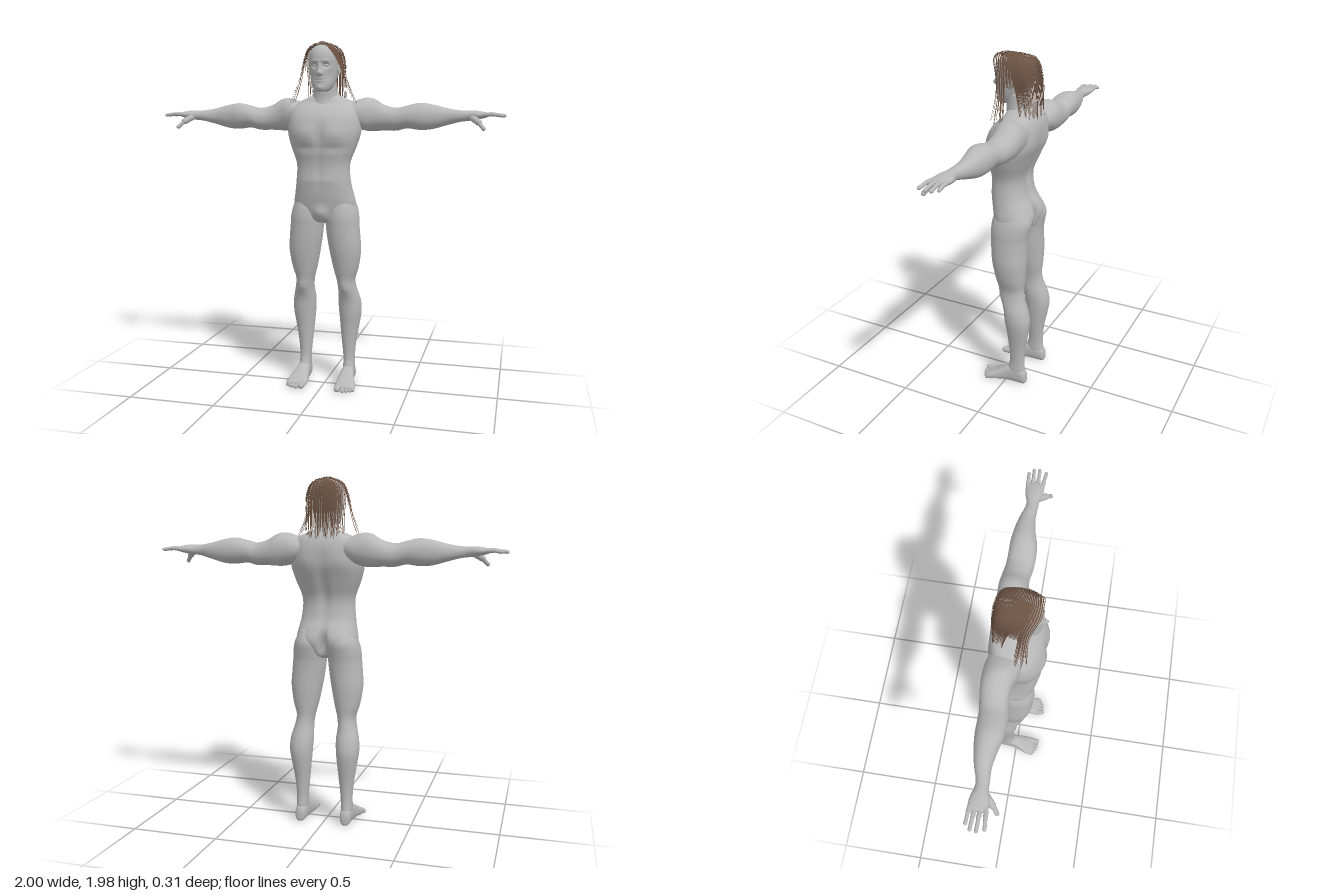
import * as THREE from 'three';

const skin = new THREE.MeshStandardMaterial({ color: 0xb8b8b8 });
skin.name = 'skin grey';
const hairMat = new THREE.MeshStandardMaterial({ color: 0x6b5242, side: THREE.DoubleSide });
hairMat.name = 'hair brown';

const V = (x, y, z) => new THREE.Vector3(x, y, z);

// Catmull-Rom blend of rows of numbers, k from 0 to rows.length - 1
function rowAt(rows, k) {
  const n = rows.length - 1, i = Math.min(Math.floor(k), n - 1), f = k - i;
  const [a, b, c, d] = [i - 1, i, i + 1, i + 2].map(j => rows[Math.max(0, Math.min(n, j))]);
  return b.map((_, j) => b[j] + 0.5 * f * (c[j] - a[j] + f * (2 * a[j] - 5 * b[j] + 4 * c[j] - d[j]
    + f * (3 * (b[j] - c[j]) + d[j] - a[j]))));
}

// Closed skin over sections [t, a0, a1, b0, b1]; place(t, a, b) gives the point
function loft(rows, place, { seg = 32, sub = 4, power = 0.9, bumps = [] } = {}) {
  const pos = [], idx = [], rings = (rows.length - 1) * sub + 1;
  const sgnPow = v => Math.sign(v) * Math.abs(v) ** power;
  for (let r = 0; r < rings; r++) {
    const [t, a0, a1, b0, b1] = rowAt(rows, r / sub);
    for (let s = 0; s < seg; s++) {
      const w = s / seg * Math.PI * 2, c = sgnPow(Math.cos(w)), q = sgnPow(Math.sin(w));
      const p = place(t, (a0 + a1) / 2 + c * (a1 - a0) / 2, (b0 + b1) / 2 + q * (b1 - b0) / 2);
      // soft muscle and face relief: [x, y, side, width, height, amount]
      for (const [x, y, side, sx, sy, amount] of bumps) {
        const facing = Math.min(1, Math.max(0, q * side * 1.5));
        const gx = (Math.abs(p.x) - x) / sx, gy = (p.y - y) / sy;
        p.z += side * amount * facing * Math.exp(-gx * gx - gy * gy);
      }
      pos.push(p.x, p.y, p.z);
      const s2 = (s + 1) % seg, i = r * seg;
      if (r < rings - 1) idx.push(i + s, i + s2, i + seg + s, i + s2, i + seg + s2, i + seg + s);
    }
  }
  // end caps
  [[0, rows[0]], [rings - 1, rows[rows.length - 1]]].forEach(([r, [t, a0, a1, b0, b1]], end) => {
    const p = place(t, (a0 + a1) / 2, (b0 + b1) / 2), centre = pos.length / 3, i = r * seg;
    pos.push(p.x, p.y, p.z);
    for (let s = 0; s < seg; s++) {
      const s2 = (s + 1) % seg;
      idx.push(centre, i + (end ? s : s2), i + (end ? s2 : s));
    }
  });
  // turn the faces outward using the signed volume
  let volume = 0;
  const at = i => V(pos[3 * i], pos[3 * i + 1], pos[3 * i + 2]);
  for (let i = 0; i < idx.length; i += 3) volume += at(idx[i]).dot(at(idx[i + 1]).cross(at(idx[i + 2])));
  if (volume < 0) idx.reverse();
  const g = new THREE.BufferGeometry();
  g.setAttribute('position', new THREE.Float32BufferAttribute(pos, 3));
  g.setIndex(idx);
  g.computeVertexNormals();
  return g;
}

function add(parent, name, geometry, material = skin) {
  const m = new THREE.Mesh(geometry, material);
  m.name = name;
  parent.add(m);
  return m;
}

// Rounded rod between two points, for fingers and toes
function rod(parent, name, a, b, radius) {
  const m = add(parent, name, new THREE.CapsuleGeometry(radius, a.distanceTo(b) - radius, 5, 12));
  m.position.copy(a).add(b).multiplyScalar(0.5);
  m.quaternion.setFromUnitVectors(V(0, 1, 0), b.clone().sub(a).normalize());
}

const upright = (y, x, z) => V(x, y, z);
const even = rows => rows.map(([y, w, front, back]) => [y, -w, w, back, front]);

function buildTorso(group) {
  const rows = even([[0.965, 0.05, 0.05, -0.07], [0.985, 0.12, 0.08, -0.10], [1.03, 0.175, 0.092, -0.12],
    [1.08, 0.178, 0.105, -0.126], [1.13, 0.168, 0.115, -0.115], [1.2, 0.156, 0.122, -0.083],
    [1.3, 0.152, 0.12, -0.075], [1.4, 0.187, 0.138, -0.112], [1.48, 0.208, 0.14, -0.142],
    [1.55, 0.205, 0.128, -0.15], [1.6, 0.195, 0.095, -0.148], [1.64, 0.165, 0.05, -0.135],
    [1.67, 0.1, 0.035, -0.115], [1.69, 0.05, 0.02, -0.09]]);
  add(group, 'torso', loft(rows, upright, { seg: 72, sub: 6, power: 0.85, bumps: [
    [0.085, 1.47, 1, 0.07, 0.05, 0.013], [0, 1.46, 1, 0.018, 0.07, -0.012], [0.08, 1.39, 1, 0.08, 0.016, -0.009],
    [0, 1.27, 1, 0.014, 0.1, -0.006], [0.04, 1.21, 1, 0.05, 0.02, 0.004], [0, 1.36, -1, 0.025, 0.16, -0.017],
    [0.1, 1.52, -1, 0.05, 0.06, 0.008], [0.085, 1.07, -1, 0.06, 0.05, 0.012], [0, 1.05, -1, 0.02, 0.07, -0.045],
    [0, 1.025, 1, 0.035, 0.035, 0.022]] }));
  add(group, 'neck', loft(even([[1.58, 0.11, 0.08, -0.13], [1.64, 0.085, 0.055, -0.11],
    [1.69, 0.068, 0.052, -0.085], [1.77, 0.066, 0.06, -0.075]]), upright, { power: 1 }));
}

function buildHead(group) {
  const rows = even([[1.7, 0.025, 0.09, 0.02], [1.708, 0.042, 0.106, 0.0], [1.735, 0.06, 0.109, -0.04],
    [1.77, 0.071, 0.108, -0.07], [1.81, 0.077, 0.11, -0.093], [1.85, 0.081, 0.112, -0.105],
    [1.89, 0.083, 0.113, -0.108], [1.925, 0.074, 0.1, -0.1], [1.95, 0.048, 0.07, -0.07], [1.96, 0.012, 0.02, -0.02]]);
  add(group, 'head', loft(rows, upright, { seg: 112, sub: 8, power: 0.95, bumps: [
    [0, 1.8, 1, 0.012, 0.014, 0.026], [0, 1.825, 1, 0.009, 0.024, 0.015], [0.012, 1.797, 1, 0.008, 0.008, 0.008],
    [0.032, 1.84, 1, 0.017, 0.013, -0.014], [0.03, 1.865, 1, 0.024, 0.008, 0.006], [0, 1.771, 1, 0.02, 0.005, 0.007],
    [0, 1.758, 1, 0.017, 0.005, 0.006], [0, 1.764, 1, 0.024, 0.0025, -0.004], [0, 1.722, 1, 0.018, 0.012, 0.006],
    [0.052, 1.785, 1, 0.016, 0.025, -0.007]] }));
  for (const s of [1, -1]) {
    const eye = add(group, 'eye', new THREE.SphereGeometry(0.012, 20, 12));
    eye.position.set(s * 0.031, 1.841, 0.087);
    eye.scale.set(1.2, 0.7, 1);
    const ear = add(group, 'ear', new THREE.SphereGeometry(0.03, 16, 12));
    ear.position.set(s * 0.083, 1.82, -0.005);
    ear.scale.set(0.3, 1, 0.6);
  }
}

function buildLeg(group, s) {
  add(group, 'leg', loft([[1.13, 0.05, 0.15, -0.1, 0.07], [1.06, 0.012, 0.183, -0.134, 0.092],
    [1.0, 0.006, 0.197, -0.127, 0.1], [0.95, 0.009, 0.2, -0.118, 0.098], [0.88, 0.017, 0.206, -0.115, 0.094],
    [0.8, 0.03, 0.21, -0.115, 0.085], [0.7, 0.05, 0.195, -0.11, 0.065], [0.63, 0.068, 0.175, -0.105, 0.047],
    [0.57, 0.075, 0.182, -0.115, 0.032], [0.5, 0.07, 0.2, -0.138, 0.01], [0.43, 0.073, 0.204, -0.15, 0.002],
    [0.35, 0.08, 0.192, -0.14, -0.01], [0.25, 0.09, 0.175, -0.122, -0.02], [0.15, 0.1, 0.166, -0.115, -0.024],
    [0.09, 0.1, 0.168, -0.12, -0.008], [0.03, 0.105, 0.165, -0.125, 0.01]],
  (y, x, z) => V(s * x, y, z), { seg: 40, power: 0.95, bumps: [[0.125, 0.585, 1, 0.03, 0.035, 0.01]] }));
  add(group, 'foot', loft([[-0.132, 0.125, 0.145, 0.015, 0.05], [-0.122, 0.108, 0.162, 0.002, 0.085],
    [-0.08, 0.1, 0.168, 0, 0.11], [-0.03, 0.098, 0.172, 0, 0.112], [0.02, 0.09, 0.183, 0, 0.085],
    [0.07, 0.085, 0.2, 0, 0.055], [0.105, 0.087, 0.203, 0.002, 0.038], [0.12, 0.1, 0.19, 0.008, 0.028]],
  (z, x, y) => V(s * x, y, z), { power: 0.8 }));
  for (let i = 0; i < 5; i++) {
    const r = i ? 0.0125 - i * 0.0005 : 0.018, x = [0.104, 0.134, 0.156, 0.175, 0.191][i];
    rod(group, 'toe', V(s * x, r + 0.004, 0.09), V(s * (x + 0.004), r, [0.144, 0.144, 0.137, 0.127, 0.115][i]), r);
  }
}

function buildArm(group, s) {
  add(group, 'arm', loft([[0.1, 1.54, 1.63, -0.12, 0.01], [0.16, 1.505, 1.65, -0.145, 0.035],
    [0.22, 1.485, 1.668, -0.152, 0.025], [0.27, 1.482, 1.662, -0.153, 0.006], [0.33, 1.485, 1.628, -0.148, 0],
    [0.4, 1.485, 1.612, -0.138, 0.01], [0.46, 1.498, 1.625, -0.135, 0.013], [0.53, 1.49, 1.639, -0.135, 0.008],
    [0.6, 1.495, 1.63, -0.128, -0.01], [0.68, 1.517, 1.61, -0.112, -0.024], [0.75, 1.535, 1.598, -0.09, -0.022],
    [0.79, 1.54, 1.597, -0.09, -0.02], [0.83, 1.545, 1.597, -0.102, -0.01], [0.87, 1.553, 1.592, -0.106, -0.006],
    [0.9, 1.562, 1.585, -0.1, -0.012]], (x, y, z) => V(s * x, y, z), { seg: 36, power: 0.95 }));
  // fingers, two joints each
  const tips = [[0.965, -0.102], [0.99, -0.077], [0.993, -0.046], [0.98, -0.008]];
  tips.forEach(([x, z], i) => {
    const root = V(s * 0.87, 1.574, -0.094 + i * 0.0255), mid = V(s * (x + 0.87) / 2, 1.577, (z + root.z) / 2);
    rod(group, 'finger', root, mid, 0.0115);
    rod(group, 'fingertip', mid, V(s * x, 1.569, z), 0.0095);
  });
  rod(group, 'thumbBase', V(s * 0.815, 1.56, -0.03), V(s * 0.86, 1.53, 0.012), 0.018);
  rod(group, 'thumb', V(s * 0.855, 1.533, 0.01), V(s * 0.886, 1.497, 0.035), 0.0115);
}

function buildHair(group) {
  // guide locks from the centre parting, front to back
  const guides = [
    [0, 1.955, 0.112, 0.05, 1.932, 0.11, 0.092, 1.86, 0.075, 0.122, 1.77, 0.06, 0.18, 1.64, 0.065],
    [0, 1.966, 0.075, 0.07, 1.94, 0.055, 0.108, 1.87, 0.03, 0.13, 1.77, 0.02, 0.188, 1.62, 0.005],
    [0, 1.97, 0.03, 0.075, 1.94, -0.02, 0.105, 1.87, -0.04, 0.102, 1.77, -0.06, 0.1, 1.65, -0.08],
    [0, 1.968, -0.02, 0.06, 1.94, -0.08, 0.082, 1.87, -0.105, 0.083, 1.77, -0.118, 0.075, 1.61, -0.125],
    [0, 1.966, -0.045, 0, 1.94, -0.105, 0, 1.87, -0.125, 0, 1.77, -0.128, 0, 1.61, -0.13]];
  const count = 56, steps = 14;
  for (const s of [1, -1]) {
    const pos = [], idx = [];
    for (let i = 0; i < count; i++) {
      const edges = [-0.7, 0.7].map(d => rowAt(guides, Math.min(4, Math.max(0, (i + 0.5 + d) / count * 4))));
      const k = i / count * 4, short = k > 1.15 && k < 1.85 ? 0.66 : 0.93 + 0.07 * Math.sin(i * 7.3);
      const lift = 0.003 * (i % 3), base = pos.length / 3;
      for (let j = 0; j <= steps; j++) {
        const [a, b] = edges.map(e => rowAt([0, 3, 6, 9, 12].map(o => e.slice(o, o + 3)), j / steps * 4 * short));
        const taper = j / steps < 0.6 ? 0 : (j / steps - 0.6) * 0.9;
        for (const [p, q] of [[a, b], [b, a]]) {
          const v = V(...p).lerp(V(...q), taper);
          const out = V(v.x, (v.y - 1.86) * (v.y > 1.86 ? 1 : 0), v.z).normalize().multiplyScalar(lift);
          v.add(out);
          pos.push(s * v.x, v.y, v.z);
        }
        const n = base + 2 * j;
        if (j < steps) idx.push(...(s > 0 ? [n, n + 2, n + 1, n + 1, n + 2, n + 3] : [n, n + 1, n + 2, n + 1, n + 3, n + 2]));
      }
    }
    const g = new THREE.BufferGeometry();
    g.setAttribute('position', new THREE.Float32BufferAttribute(pos, 3));
    g.setIndex(idx);
    g.computeVertexNormals();
    add(group, s > 0 ? 'leftHair' : 'rightHair', g, hairMat);
  }
}

export function createModel() {
  const model = new THREE.Group();
  model.name = 'standingFigure';
  const part = (name, build, ...args) => {
    const g = new THREE.Group();
    g.name = name;
    build(g, ...args);
    model.add(g);
  };
  part('body', buildTorso);
  part('headGroup', buildHead);
  part('hair', buildHair);
  for (const s of [1, -1]) {
    const side = s > 0 ? 'left' : 'right';
    part(side + 'Leg', buildLeg, s);
    part(side + 'Arm', buildArm, s);
  }
  return model;
}
